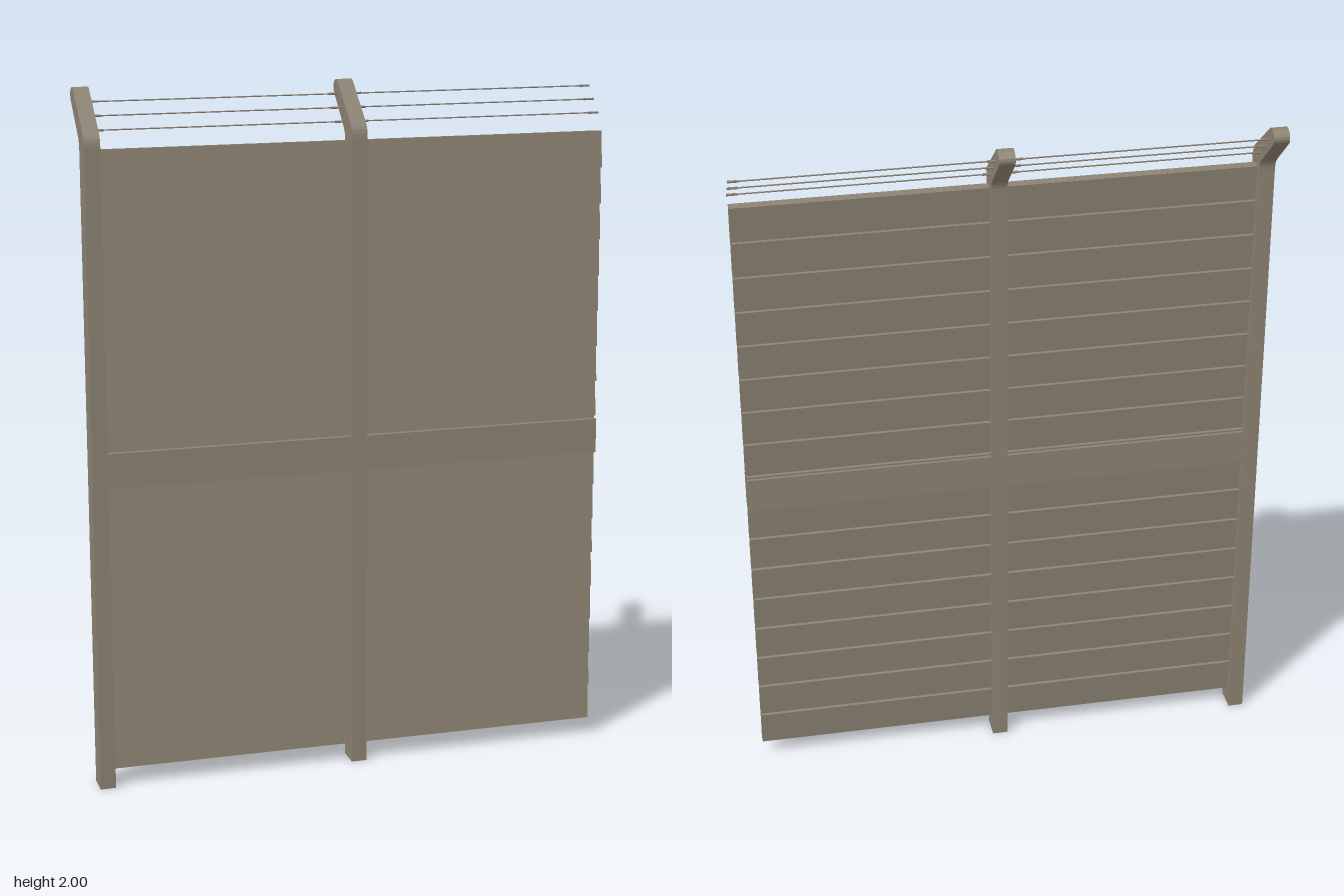
import * as THREE from 'three';

const TILT = 0.058;          // the whole fence is turned slightly
const POSTS = [-0.735, 0.02];
const END = 0.753;           // free end of the second bay
const POST_W = 0.045;

export function createModel() {
  const fence = new THREE.Group();
  fence.name = 'fence';
  const concrete = new THREE.MeshStandardMaterial({ color: 0x8b8272 });
  concrete.name = 'weathered grey brown';

  const add = (name, geometry, x, y, z) => {
    const mesh = new THREE.Mesh(geometry, concrete);
    mesh.name = name;
    mesh.position.set(x, y, z);
    fence.add(mesh);
    return mesh;
  };

  // Post: side profile with a tapered arm cranked to the back
  const profile = new THREE.Shape();
  profile.moveTo(-0.035, 0);
  profile.lineTo(0.035, 0);
  profile.lineTo(0.035, 1.85);
  profile.quadraticCurveTo(0.034, 1.878, 0.02, 1.89);
  profile.lineTo(-0.112, 1.996);
  profile.quadraticCurveTo(-0.13, 2.005, -0.146, 1.99);
  profile.quadraticCurveTo(-0.16, 1.975, -0.146, 1.96);
  profile.lineTo(-0.048, 1.872);
  profile.quadraticCurveTo(-0.035, 1.86, -0.035, 1.835);
  profile.closePath();
  const postGeo = new THREE.ExtrudeGeometry(profile, { depth: POST_W, bevelEnabled: false, curveSegments: 4 });
  postGeo.translate(0, 0, -POST_W / 2).rotateY(-Math.PI / 2);
  POSTS.forEach((x) => add('post', postGeo, x, 0, 0));

  // Bays between the posts: leaning planks, middle rail and wires
  const planks = 17, bottom = 0.052, top = 1.842;
  const pitch = (top - bottom) / planks;
  const wires = [[1.96, -0.107], [1.925, -0.071], [1.89, -0.034]];
  const edges = [...POSTS, END];

  for (let bay = 0; bay < 2; bay++) {
    const x0 = edges[bay] + POST_W / 2;
    const x1 = bay === 0 ? edges[1] - POST_W / 2 : END;
    const width = x1 - x0, cx = (x0 + x1) / 2;

    const plankGeo = new THREE.BoxGeometry(width, pitch, 0.027);
    for (let i = 0; i < planks; i++) {
      const plank = add('plank', plankGeo, cx, bottom + pitch * (i + 0.5), 0.002);
      plank.rotation.x = -0.09;
    }

    add('middleRail', new THREE.BoxGeometry(width, 0.102, 0.053), cx, 0.942, 0.001);

    // Wires with a thicker binding at each end
    const wireEnd = bay === 0 ? x1 : x1 + 0.006;
    const len = wireEnd - x0;
    const wireGeo = new THREE.CylinderGeometry(0.002, 0.002, len, 6).rotateZ(Math.PI / 2);
    const bindGeo = new THREE.CylinderGeometry(0.0035, 0.0035, 0.03, 6).rotateZ(Math.PI / 2);
    for (const [y, z] of wires) {
      add('wire', wireGeo, x0 + len / 2, y, z);
      add('wireBinding', bindGeo, x0 + 0.008, y, z);
      add('wireBinding', bindGeo, wireEnd - 0.015, y, z);
    }
  }

  fence.rotation.y = TILT;
  fence.position.z = 0.036;
  const model = new THREE.Group();
  model.name = 'fenceSection';
  model.add(fence);
  return model;
}
